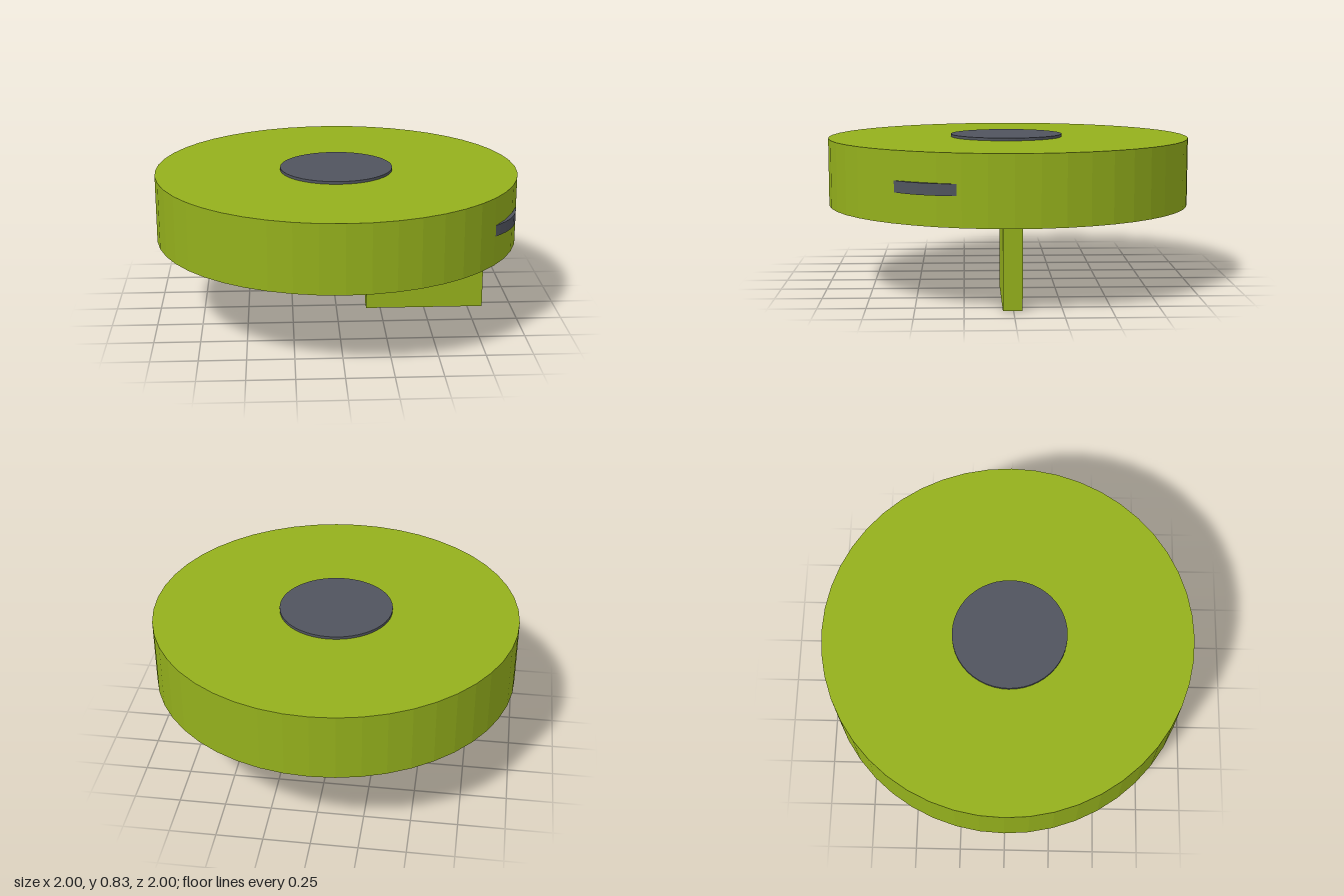
import * as THREE from 'three';

export function createModel() {
  const group = new THREE.Group();
  const green = new THREE.MeshStandardMaterial({ color: 0x94b01c, flatShading: true });
  const dark = new THREE.MeshStandardMaterial({ color: 0x50545e, flatShading: true });

  const add = (name, geometry, material, x, y, z) => {
    const mesh = new THREE.Mesh(geometry, material);
    mesh.name = name;
    mesh.position.set(x, y, z);
    group.add(mesh);
  };
  const disc = (radius, height) => new THREE.CylinderGeometry(radius, radius, height, 48);

  // main drum
  add('body', disc(1, 0.37), green, 0, 0.63, 0);

  // hub plate showing slightly above and below the drum
  add('hub', disc(0.31, 0.4), dark, 0, 0.63, 0.01);

  // thin wheel breaking through the rim
  const angle = 0.466, offset = 0.57;
  add('rimWheel', disc(0.45, 0.06), dark, offset * Math.cos(angle), 0.633, offset * Math.sin(angle));

  // plate hanging below the drum, set slightly into it
  add('lowerFin', new THREE.BoxGeometry(0.665, 0.47, 0.1), green, 0.5025, 0.235, 0.004);

  return group;
}
